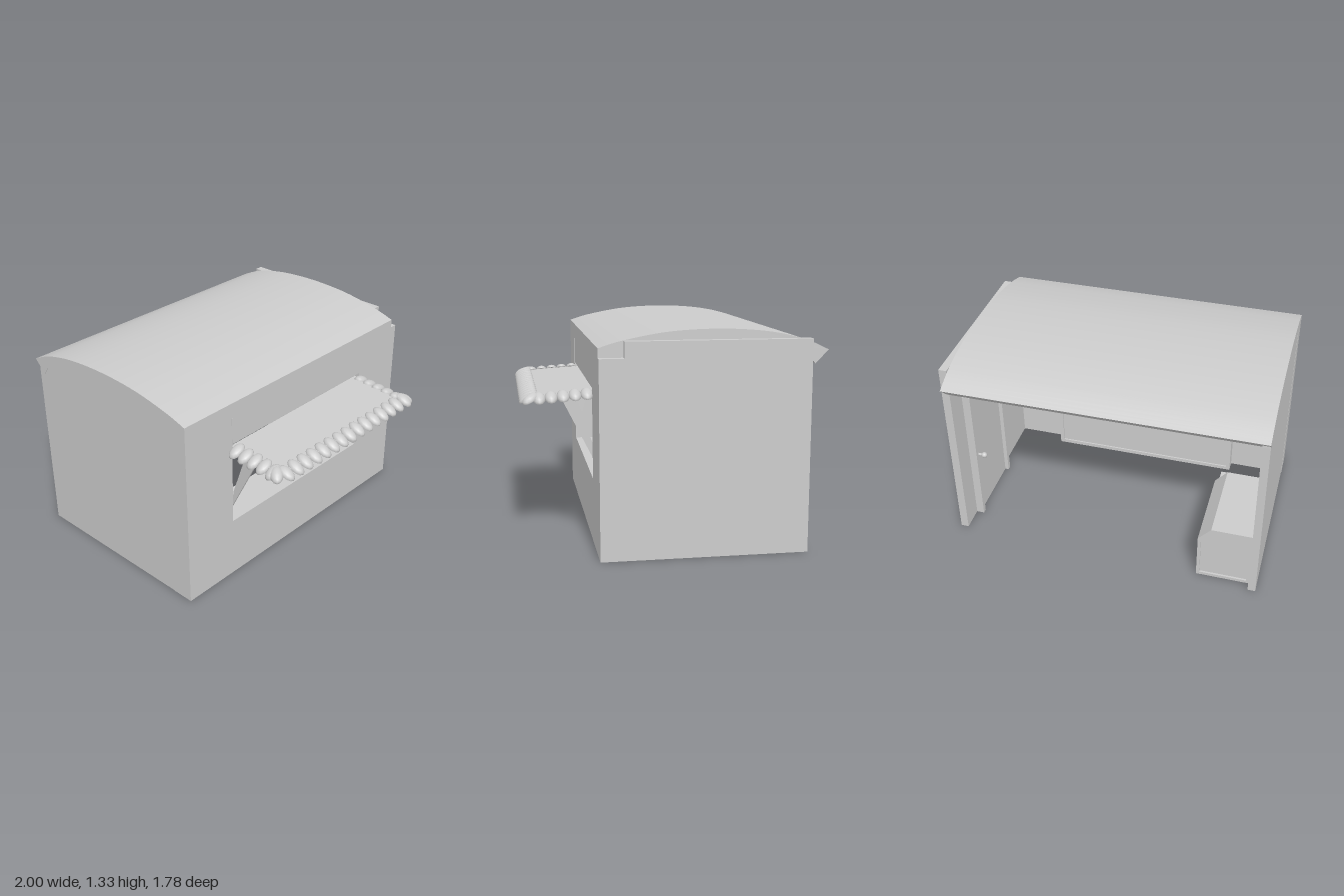
import * as THREE from 'three';
import { toCreasedNormals } from 'three/addons/utils/BufferGeometryUtils.js';

const material = new THREE.MeshStandardMaterial({ color: 0xcccccc, side: THREE.DoubleSide });

export function createModel() {
  const model = new THREE.Group();

  const add = (name, geometry, parent = model) => {
    const mesh = new THREE.Mesh(geometry, material);
    mesh.name = name;
    parent.add(mesh);
    return mesh;
  };
  const group = (name) => {
    const g = new THREE.Group();
    g.name = name;
    model.add(g);
    return g;
  };
  // Box from its minimum and maximum corners
  const box = (name, [x0, y0, z0], [x1, y1, z1], parent) =>
    add(name, new THREE.BoxGeometry(x1 - x0, y1 - y0, z1 - z0)
      .translate((x0 + x1) / 2, (y0 + y1) / 2, (z0 + z1) / 2), parent);
  const shapeOf = (pts) => new THREE.Shape(pts.map(([a, b]) => new THREE.Vector2(a, b)));
  const extrude = (shape, depth) => new THREE.ExtrudeGeometry(shape, { depth, bevelEnabled: false });
  // (z, y) section swept along x
  const extrudeX = (pts, x0, x1) =>
    extrude(shapeOf(pts.map(([z, y]) => [-z, y])), x1 - x0).rotateY(Math.PI / 2).translate(x0, 0, 0);

  // Front wall with serving window
  const wallShape = shapeOf([[-1, 0], [1, 0], [1, 1.175], [0.95, 1.175], [0.95, 1.23], [-1, 1.23]]);
  wallShape.holes.push(shapeOf([[-0.62, 0.4], [-0.62, 0.955], [0.61, 0.955], [0.61, 0.4]]));
  add('frontWall', extrude(wallShape, 0.145).translate(0, 0, 0.31));
  box('wallStrip', [-0.624, 0.95, 0.45], [-0.616, 1.13, 0.458]);

  // Curved roof shell
  const curve = new THREE.SplineCurve([[0.455, 1.23], [0.31, 1.272], [0.05, 1.317], [-0.24, 1.33],
    [-0.52, 1.312], [-0.74, 1.265], [-0.89, 1.2]].map(([z, y]) => new THREE.Vector2(z, y)));
  const top = curve.getPoints(36).map((p) => [p.x, p.y]);
  const under = top.filter(([z]) => z > -0.8).map(([z, y]) => [z, y - 0.08]).reverse();
  add('roof', toCreasedNormals(extrudeX([...top, [-0.81, 1.12], ...under], -1, 0.95), 0.4));

  // Side walls
  box('leftWall', [0.95, 0, -0.78], [1, 1.27, 0.31]);
  const arch = top.filter(([z]) => z < 0.31 && z > -0.855).map(([z, y]) => [z, y - 0.04]);
  add('rightWall', extrudeX([[0.31, 0], [0.31, 1.23], ...arch, [-0.855, 1.15], [-0.855, 0]], -0.998, -0.95));

  // Two overlapping sliding sashes
  const sash = (x0, x1, z) => {
    const g = group('windowSash');
    for (const x of [x0, x1 - 0.03]) box('sashStile', [x, 0.42, z], [x + 0.03, 0.955, z + 0.025], g);
    for (const y of [0.42, 0.93]) box('sashRail', [x0, y, z], [x1, y + 0.022, z + 0.025], g);
  };
  sash(-0.035, 0.535, 0.355);
  sash(0.035, 0.61, 0.325);

  // Awning canopy, struts and scalloped trim
  const awning = group('awning');
  add('canopy', extrudeX([[0.43, 0.93], [0.83, 0.905], [0.83, 0.89], [0.43, 0.915]], -0.61, 0.6), awning);
  for (const x of [-0.612, 0.598]) {
    add('strut', extrudeX([[0.64, 0.9], [0.55, 0.9], [0.455, 0.62], [0.435, 0.49]], x, x + 0.012), awning);
  }
  const scallop = new THREE.SphereGeometry(1, 12, 4, 0, Math.PI * 2, 0, Math.PI / 2).scale(0.039, 0.032, 0.062);
  const trim = (x, y, z, turn) => {
    const tile = add('scallop', scallop, awning);
    tile.rotation.set(0.42, turn, 0, 'YXZ');
    tile.position.set(x, y, z);
  };
  for (let i = 0; i < 15; i++) trim(-0.57 + i * 0.083, 0.895, 0.83, 0);
  for (const side of [-1, 1]) {
    for (let i = 0; i < 5; i++) trim(-0.008 + side * 0.605, 0.915 - i * 0.005, 0.485 + i * 0.071, side * Math.PI / 2);
  }
  trim(0.61, 0.895, 0.82, Math.PI / 4);
  trim(-0.62, 0.895, 0.8, -Math.PI / 4);

  // Counter under the window, with a framed front
  const counter = group('counter');
  box('counterBody', [-0.635, 0, 0.245], [0.635, 0.33, 0.315], counter);
  box('counterTop', [-0.655, 0.33, 0.2], [0.655, 0.4, 0.315], counter);
  const counterFrame = shapeOf([[-0.635, 0], [0.635, 0], [0.635, 0.33], [-0.635, 0.33]]);
  counterFrame.holes.push(shapeOf([[-0.61, 0.025], [-0.61, 0.305], [0.61, 0.305], [0.61, 0.025]]));
  add('counterFrame', extrude(counterFrame, 0.012).translate(0, 0, 0.235), counter);

  // Chest with chamfered lid and low front step
  const chest = group('chest');
  const outline = [[-0.95, 0], [-0.61, 0], [-0.61, 0.31], [-0.69, 0.4], [-0.95, 0.4]];
  add('chestBody', extrude(shapeOf(outline), 0.54).translate(0, 0, -0.79), chest);
  const rim = shapeOf(outline);
  rim.holes.push(shapeOf([[-0.93, 0.02], [-0.93, 0.38], [-0.7, 0.38], [-0.63, 0.3], [-0.63, 0.02]]));
  add('chestEndFrame', extrude(rim, 0.012).translate(0, 0, -0.802), chest);
  box('chestStep', [-0.95, 0, -0.25], [-0.61, 0.16, 0.02], chest);

  // Door on the inside of the left wall
  const door = group('door');
  box('doorLeaf', [0.925, 0, -0.6], [0.952, 0.94, -0.165], door);
  for (const z of [-0.63, -0.165]) box('doorJamb', [0.9, 0, z], [0.952, 0.97, z + 0.03], door);
  box('doorHead', [0.9, 0.94, -0.63], [0.952, 0.97, -0.135], door);
  add('knobStem', new THREE.CylinderGeometry(0.009, 0.009, 0.04, 10)
    .rotateZ(Math.PI / 2).translate(0.908, 0.45, -0.55), door);
  add('knob', new THREE.SphereGeometry(0.02, 14, 10).translate(0.885, 0.45, -0.55), door);

  return model;
}
